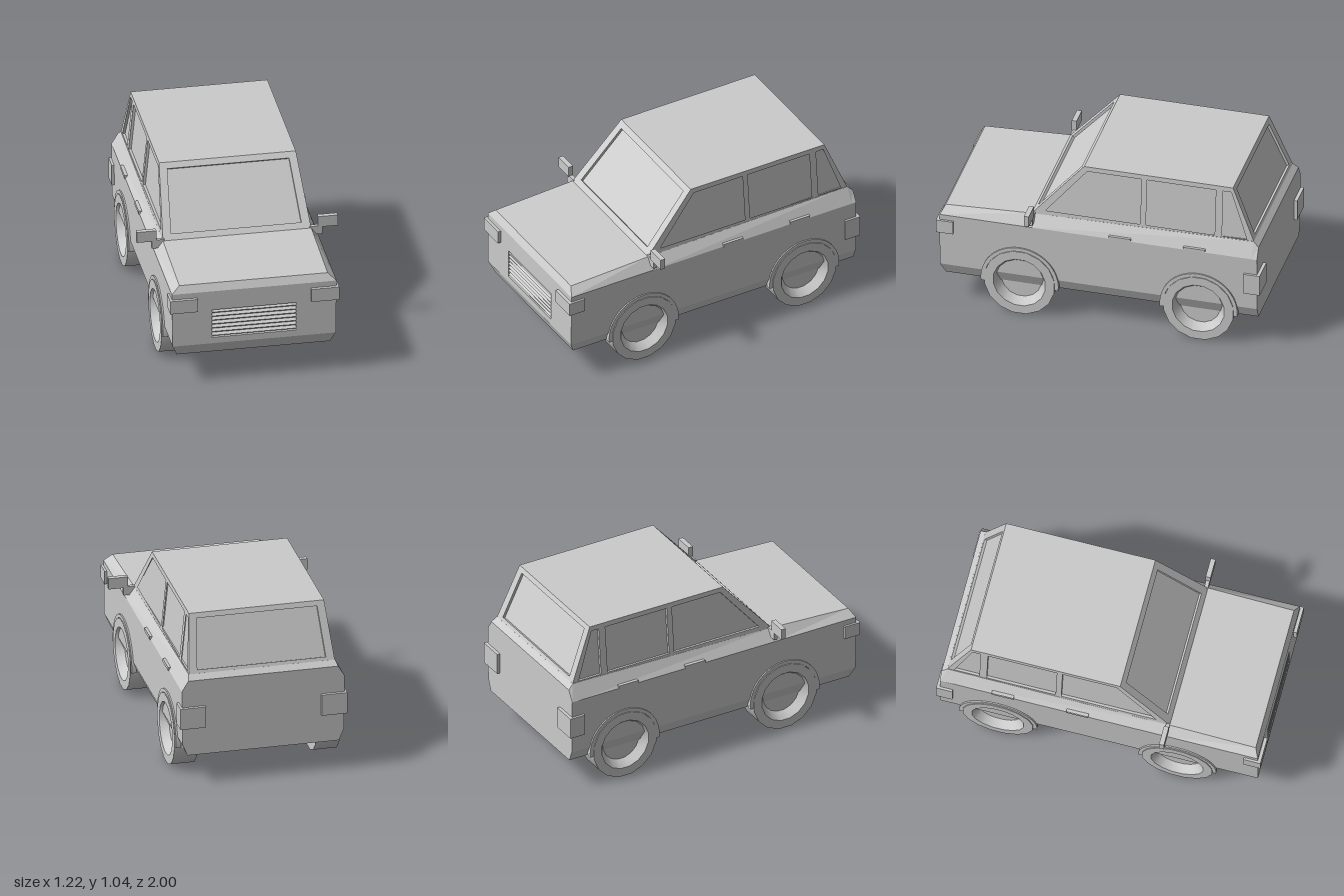
import * as THREE from 'three';
import { toCreasedNormals } from 'three/addons/utils/BufferGeometryUtils.js';

const V3 = (x, y, z) => new THREE.Vector3(x, y, z);
const paint = new THREE.MeshStandardMaterial({ color: 0xcccccc });
const twoSided = new THREE.MeshStandardMaterial({ color: 0xcccccc, side: THREE.DoubleSide });

function add(parent, name, geometry, material = paint) {
  const mesh = new THREE.Mesh(geometry, material);
  mesh.name = name;
  parent.add(mesh);
  return mesh;
}

// Box given by its extents on each axis
function block(parent, name, [x0, x1], [y0, y1], [z0, z1]) {
  const mesh = add(parent, name, new THREE.BoxGeometry(Math.abs(x1 - x0), y1 - y0, z1 - z0));
  mesh.position.set((x0 + x1) / 2, (y0 + y1) / 2, (z0 + z1) / 2);
  return mesh;
}

// Flat panel in the plane origin + a*u + b*v, with openings backed by a sunken pane
function panel(parent, name, origin, u, v, outline, holes, depth, paneName) {
  const toShape = pts => new THREE.Shape(pts.map(p => new THREE.Vector2(...p)));
  const plane = new THREE.Matrix4()
    .makeBasis(u, v, new THREE.Vector3().crossVectors(u, v).normalize())
    .setPosition(origin);
  const shape = toShape(outline);
  shape.holes = holes.map(toShape);
  const frame = new THREE.ExtrudeGeometry(shape, { depth, bevelEnabled: false });
  add(parent, name, frame.translate(0, 0, -depth).applyMatrix4(plane));
  if (!holes.length) return;
  const pane = new THREE.ShapeGeometry(toShape(outline));
  add(parent, paneName, pane.translate(0, 0, -depth * 0.9).applyMatrix4(plane), twoSided);
}

// Lower body lofted through half cross-sections, front to back
function bodyGeometry() {
  const sections = [
    [[.465, .19, .95], [.495, .26, .98], [.5, .61, .98], [.45, .655, .955]],
    [[.465, .19, .425], [.495, .26, .425], [.5, .61, .425], [.45, .68, .425]],
    [[.465, .19, -.947], [.495, .26, -.947], [.5, .61, -.947], [.45, .705, -.947]],
    [[.465, .19, -.98], [.495, .26, -.98], [.5, .61, -.98], [.46, .675, -.98]]
  ];
  const mirror = ([x, y, z]) => [-x, y, z];
  const out = [];
  const quad = (a, b, c, d) => out.push(...a, ...b, ...c, ...a, ...c, ...d);
  const loops = sections.map(s => [...s, ...[...s].reverse().map(mirror)]);
  for (let i = 0; i < loops.length - 1; i++)
    for (let j = 0; j < 8; j++) {
      const k = (j + 1) % 8;
      quad(loops[i][j], loops[i + 1][j], loops[i + 1][k], loops[i][k]);
    }
  // End faces; the middle of the nose is left open for the grille panel
  const front = sections[0], back = sections[3];
  for (let j = 0; j < 3; j++) {
    if (j !== 1) quad(mirror(front[j]), front[j], front[j + 1], mirror(front[j + 1]));
    quad(back[j], mirror(back[j]), mirror(back[j + 1]), back[j + 1]);
  }
  const geometry = new THREE.BufferGeometry();
  geometry.setAttribute('position', new THREE.Float32BufferAttribute(out, 3));
  geometry.computeVertexNormals();
  return geometry;
}

function addCabin(car) {
  const cabin = new THREE.Group();
  cabin.name = 'cabin';
  car.add(cabin);
  const y0 = .68, y1 = 1.04, h = y1 - y0;
  const wBase = .45, wTop = .415;
  const fBase = .425, fTop = .11, rBase = -.957, rTop = -.81;
  const endOutline = [[-wBase, y0], [wBase, y0], [wTop, y1], [-wTop, y1]];

  // Windscreen and rear window frames
  const fs = (fTop - fBase) / h, rs = (rTop - rBase) / h;
  panel(cabin, 'windscreenFrame', V3(0, 0, fBase - fs * y0), V3(1, 0, 0), V3(0, 1, fs), endOutline,
    [[[-.395, .71], [.395, .71], [.37, 1.01], [-.37, 1.01]]], .018, 'windscreen');
  panel(cabin, 'rearWindowFrame', V3(0, 0, rBase - rs * y0), V3(-1, 0, 0), V3(0, 1, rs), endOutline,
    [[[-.395, .725], [.395, .725], [.37, 1.01], [-.37, 1.01]]], .018, 'rearWindow');

  // Side frames with three windows each
  const sideOutline = [[fBase, y0], [fTop, y1], [rTop, y1], [rBase, y0]];
  const windows = [
    [[.34, .71], [.09, 1.01], [-.245, 1.01], [-.245, .71]],
    [[-.28, .71], [-.28, 1.01], [-.705, 1.01], [-.705, .71]],
    [[-.75, .71], [-.75, 1.01], [-.8, 1.01], [-.905, .71]]
  ];
  const lean = (wTop - wBase) / h;
  for (const s of [1, -1]) {
    const flip = pts => pts.map(([z, y]) => [-s * z, y]);
    panel(cabin, s > 0 ? 'leftSideFrame' : 'rightSideFrame', V3(s * (wBase - lean * y0), 0, 0),
      V3(0, 0, -s), V3(s * lean, 1, 0), flip(sideOutline), windows.map(flip), .018, 'sideWindows');
  }

  panel(cabin, 'roof', V3(0, y1, 0), V3(1, 0, 0), V3(0, 0, -1),
    [[-wTop, -fTop], [wTop, -fTop], [wTop, -rTop], [-wTop, -rTop]], [], .02);
}

function addGrille(car) {
  panel(car, 'nosePanel', V3(0, 0, .98), V3(1, 0, 0), V3(0, 1, 0),
    [[-.495, .26], [.495, .26], [.5, .61], [-.5, .61]],
    [[[-.255, .3], [.255, .3], [.255, .485], [-.255, .485]]], .025, 'grilleBack');
  for (let i = 0; i < 7; i++) {
    const slat = add(car, 'grilleSlat', new THREE.BoxGeometry(.51, .006, .022));
    slat.position.set(0, .315 + i * .026, .967);
    slat.rotation.x = .5;
  }
}

function addWheels(car) {
  // Tyre and dished rim in one turned profile, axis along x
  const profile = [[0, .365], [.219, .365], [.219, .51], [.163, .51], [.125, .46], [0, .46]];
  const lathe = new THREE.LatheGeometry(profile.map(p => new THREE.Vector2(...p)), 16, Math.PI / 16);
  const wheelGeometry = toCreasedNormals(lathe.rotateZ(-Math.PI / 2), .6);

  // Arch trim around the upper part of the wheel
  const arch = new THREE.Shape();
  arch.absarc(0, 0, .24, -.1, Math.PI + .1, false);
  arch.absarc(0, 0, .217, Math.PI + .1, -.1, true);
  const archGeometry = toCreasedNormals(
    new THREE.ExtrudeGeometry(arch, { depth: .03, bevelEnabled: false, curveSegments: 12 })
      .translate(0, 0, .476).rotateY(Math.PI / 2), .6);

  for (const [end, z] of [['front', .485], ['rear', -.62]])
    for (const s of [1, -1]) {
      const corner = new THREE.Group();
      corner.name = end + (s > 0 ? 'LeftWheel' : 'RightWheel');
      corner.position.set(0, .215, z);
      corner.rotation.y = s > 0 ? 0 : Math.PI;
      add(corner, 'wheel', wheelGeometry);
      add(corner, 'wheelArch', archGeometry);
      car.add(corner);
    }
}

export function createModel() {
  const car = new THREE.Group();
  car.name = 'car';
  add(car, 'body', bodyGeometry());
  addCabin(car);
  addGrille(car);
  addWheels(car);

  // Lamps, mirrors and door handles on both sides
  for (const s of [1, -1]) {
    block(car, 'headlight', [s * .345, s * .513], [.49, .575], [.895, 1]);
    block(car, 'tailLight', [s * .355, s * .513], [.37, .505], [-1, -.9]);
    block(car, 'mirrorArm', [s * .44, s * .518], [.635, .69], [.402, .425]);
    block(car, 'mirror', [s * .49, s * .61], [.685, .755], [.4, .43]);
    for (const z of [-.2, -.66])
      block(car, 'doorHandle', [s * .48, s * .506], [.608, .63], [z, z + .135]);
  }
  return car;
}
